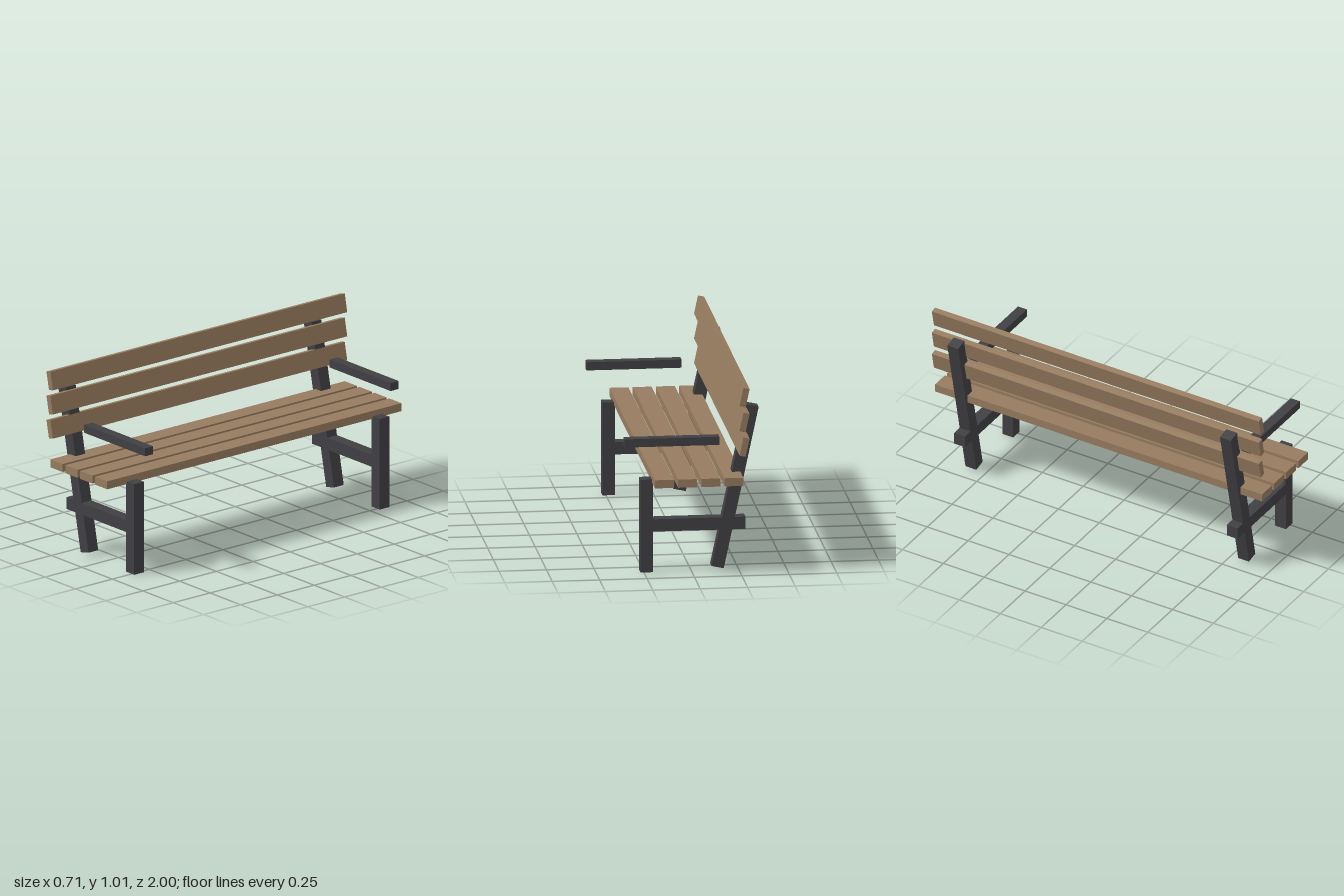
import * as THREE from 'three';

export function createModel() {
  const bench = new THREE.Group();
  bench.name = 'bench';

  const wood = new THREE.MeshStandardMaterial({ color: 0x967b5f });
  wood.name = 'wood';
  const metal = new THREE.MeshStandardMaterial({ color: 0x404044 });
  metal.name = 'dark metal';

  const tilt = THREE.MathUtils.degToRad(12);

  function bar(parent, name, material, size, position, lean = 0) {
    const mesh = new THREE.Mesh(new THREE.BoxGeometry(...size), material);
    mesh.name = name;
    mesh.position.set(...position);
    mesh.rotation.z = lean;
    parent.add(mesh);
  }

  // Seat slats, running the full length
  const seat = new THREE.Group();
  seat.name = 'seat';
  for (let i = 0; i < 4; i++) {
    bar(seat, 'seatSlat', wood, [0.1, 0.044, 2], [-0.208 + i * 0.122, 0.507, 0]);
  }
  bench.add(seat);

  // Leaning backrest slats
  const backrest = new THREE.Group();
  backrest.name = 'backrest';
  for (let i = 0; i < 3; i++) {
    bar(backrest, 'backSlat', wood, [0.033, 0.1, 2], [-0.264, 0.694 + i * 0.1335, 0], tilt);
  }
  bench.add(backrest);

  // Two end frames: front leg, leaning back leg, stretcher and armrest
  for (const side of [-1, 1]) {
    const frame = new THREE.Group();
    frame.name = 'endFrame';
    frame.position.z = side * 0.834;
    bar(frame, 'frontLeg', metal, [0.066, 0.5, 0.066], [0.236, 0.25, 0]);
    bar(frame, 'backLeg', metal, [0.066, 0.885, 0.066], [-0.23, 0.45, 0], tilt);
    bar(frame, 'stretcher', metal, [0.52, 0.066, 0.066], [-0.025, 0.252, 0]);
    bar(frame, 'armrest', metal, [0.5, 0.044, 0.055], [0.102, 0.697, 0]);
    bench.add(frame);
  }

  return bench;
}
